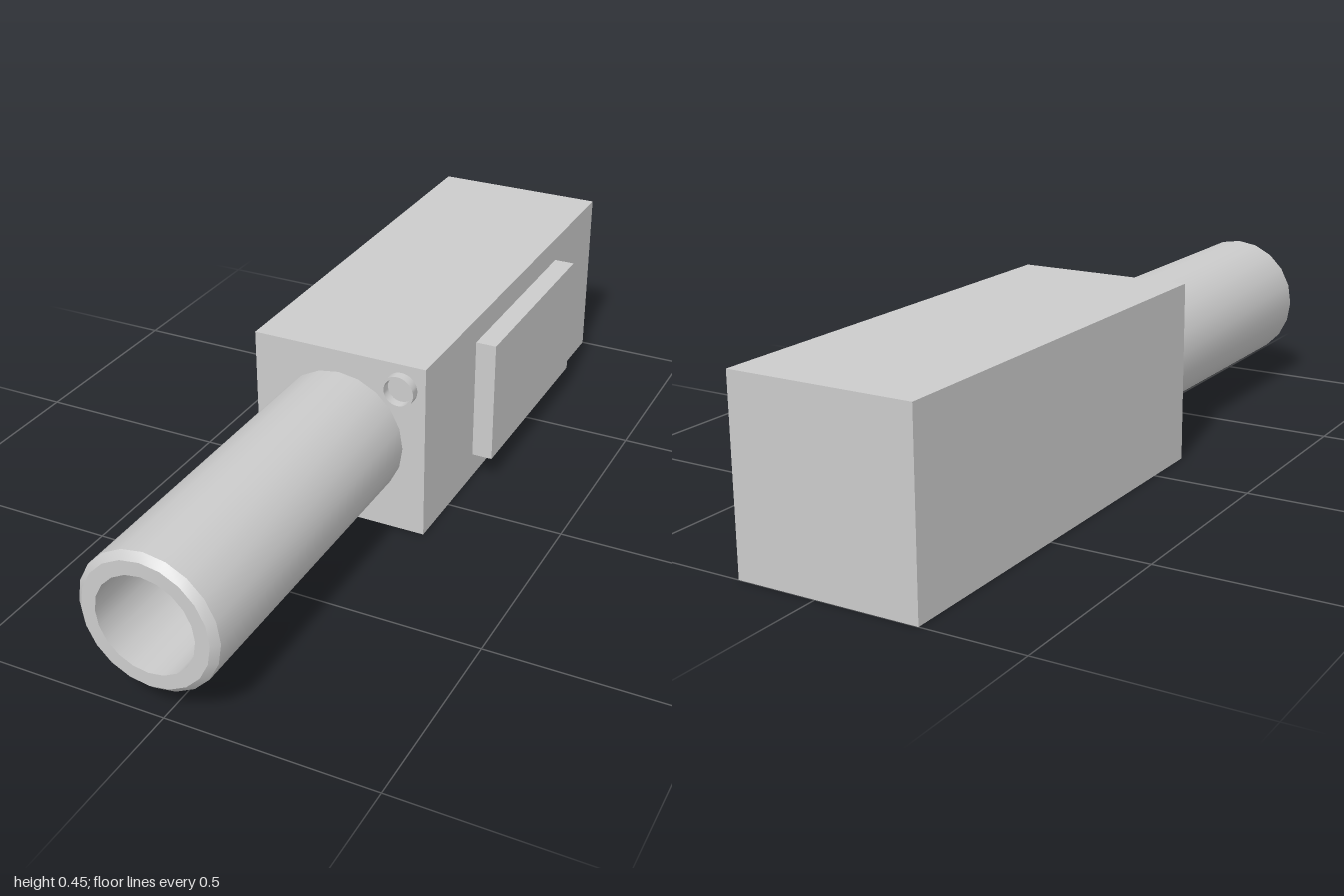
import * as THREE from 'three';
import { toCreasedNormals } from 'three/addons/utils/BufferGeometryUtils.js';

const material = new THREE.MeshStandardMaterial({ color: 0xcccccc });

// Box given by its lower and upper corners
function box(name, min, max) {
  const size = max.map((v, i) => v - min[i]);
  const mesh = new THREE.Mesh(new THREE.BoxGeometry(...size), material);
  mesh.position.set(...max.map((v, i) => (v + min[i]) / 2));
  mesh.name = name;
  return mesh;
}

// Turned part along +z; profile holds [radius, z] pairs
function turned(name, profile, sides, x, y) {
  const points = profile.map(([r, z]) => new THREE.Vector2(r, z));
  const geometry = new THREE.LatheGeometry(points, sides).rotateX(Math.PI / 2);
  const mesh = new THREE.Mesh(toCreasedNormals(geometry, 0.6), material);
  mesh.position.set(x, y, 0);
  mesh.name = name;
  return mesh;
}

export function createModel() {
  const model = new THREE.Group();
  model.name = 'boxWithBarrel';
  const front = 0.15;

  model.add(box('body', [-0.253, 0, -1], [0.199, 0.453, front]));
  model.add(box('sidePlate', [0.199, 0.066, -0.705], [0.252, 0.388, -0.15]));

  // Hollow barrel with a bevelled muzzle and a closed bore
  model.add(turned('barrel', [
    [0.169, front], [0.169, 0.984], [0.153, 1], [0.119, 1], [0.119, front + 0.002], [0, front + 0.002],
  ], 20, -0.028, 0.227));

  // Small raised ring beside the barrel, with a shallow floor
  model.add(turned('frontRing', [
    [0.041, front], [0.041, 0.174], [0.035, 0.174], [0.034, front + 0.002], [0, front + 0.002],
  ], 32, 0.137, 0.391));

  return model;
}
